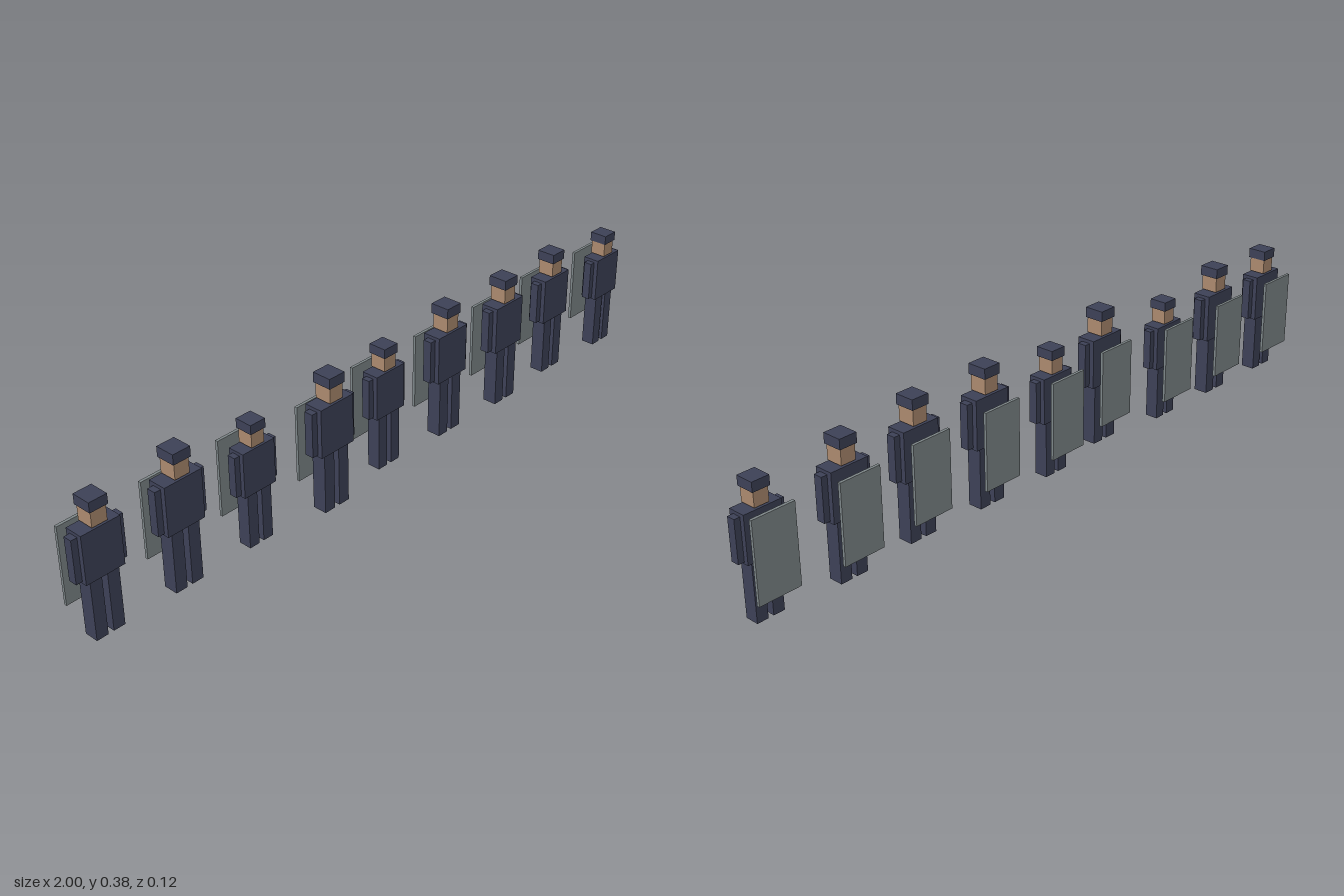
import * as THREE from 'three';

export function createModel() {
  const material = (name, color) => {
    const m = new THREE.MeshStandardMaterial({ color });
    m.name = name;
    return m;
  };
  const navy = material('navy uniform', 0x3e4258);
  const skin = material('skin', 0xae8c70);
  const grey = material('shield grey', 0x7f888a);

  // Box given by its centre x, bottom, top, width, depth and centre z
  const box = (parent, name, mat, x, y0, y1, width, depth, z = 0) => {
    const mesh = new THREE.Mesh(new THREE.BoxGeometry(width, y1 - y0, depth), mat);
    mesh.name = name;
    mesh.position.set(x, (y0 + y1) / 2, z);
    parent.add(mesh);
  };

  // A standing figure of full height 0.381 that is scaled to size
  const figure = (height) => {
    const body = new THREE.Group();
    body.name = 'body';
    for (const [side, s] of [['left', 1], ['right', -1]]) {
      box(body, side + 'Leg', navy, s * 0.025, 0, 0.17, 0.034, 0.041);
      box(body, side + 'Arm', navy, s * 0.062, 0.175, 0.297, 0.023, 0.025);
    }
    box(body, 'torso', navy, 0, 0.17, 0.306, 0.112, 0.052);
    box(body, 'head', skin, 0, 0.31, 0.355, 0.044, 0.048);
    box(body, 'cap', navy, 0, 0.353, 0.381, 0.052, 0.055);
    body.scale.setScalar(height / 0.381);
    return body;
  };

  // Height and forward step of each figure, from right to left
  const line = [
    [0.367, 0], [0.377, 0.002], [0.344, 0.003], [0.381, 0.033], [0.352, 0],
    [0.38, 0.009], [0.378, 0.016], [0.368, 0.003], [0.349, 0.017],
  ];
  const group = new THREE.Group();
  group.name = 'guardLine';
  line.forEach(([height, z], i) => {
    const guard = new THREE.Group();
    guard.name = 'guard' + (i + 1);
    guard.add(figure(height));
    // Shields are all the same size, held behind the body
    box(guard, 'shield', grey, 0, 0.071, 0.285, 0.118, 0.008, -0.057);
    guard.position.set((i - 4) * 0.2325, 0, z);
    group.add(guard);
  });
  return group;
}
